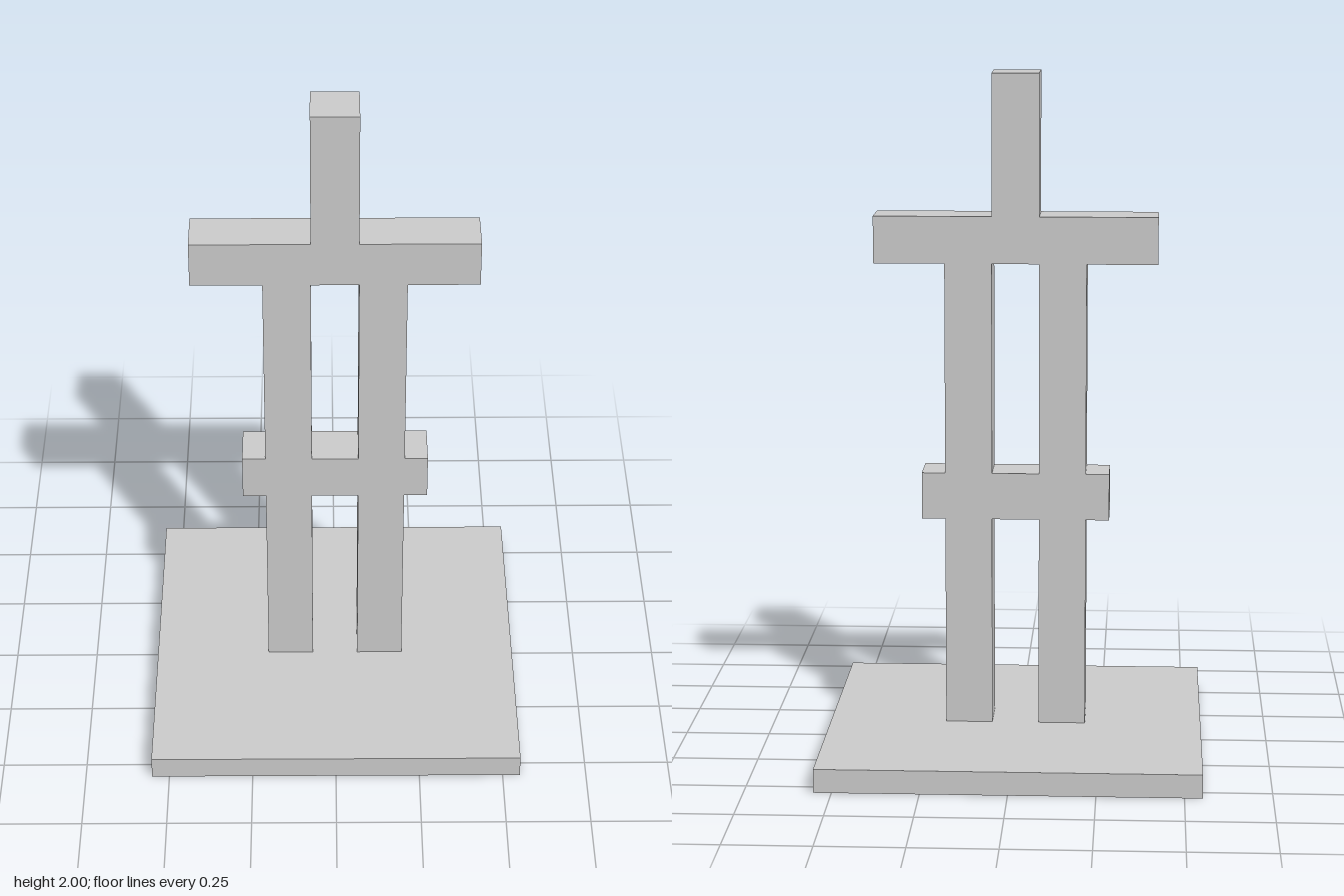
import * as THREE from 'three';

// Everything sits on a grid of 29 units to the full height of 2
const U = 2 / 29;
const BEAM = 2; // thickness of every beam, in grid units

export function createModel() {
  const model = new THREE.Group();
  model.name = 'postFrame';
  const material = new THREE.MeshStandardMaterial({ color: 0xcccccc });

  // Box spanning bottom..top, centred on x (grid units)
  const block = (name, x, bottom, top, width, depth = BEAM) => {
    const height = top - bottom;
    const geometry = new THREE.BoxGeometry(width * U, height * U, depth * U);
    const mesh = new THREE.Mesh(geometry, material);
    mesh.name = name;
    mesh.position.set(x * U, (bottom + height / 2) * U, 0);
    model.add(mesh);
  };

  // Square foot plate
  block('base', 0, 0, 1, 16, 16);

  // Paired posts, interrupted by the lower crossbar
  for (const [side, x] of [['left', 2], ['right', -2]]) {
    block(side + 'LowerPost', x, 1, 10, BEAM);
    block(side + 'UpperPost', x, 12, 21, BEAM);
  }

  // Crossbars
  block('lowerCrossbar', 0, 10, 12, 8);
  block('upperCrossbar', 0, 21, 23, 12);

  // Single centre post on top
  block('topPost', 0, 23, 29, BEAM);

  return model;
}
